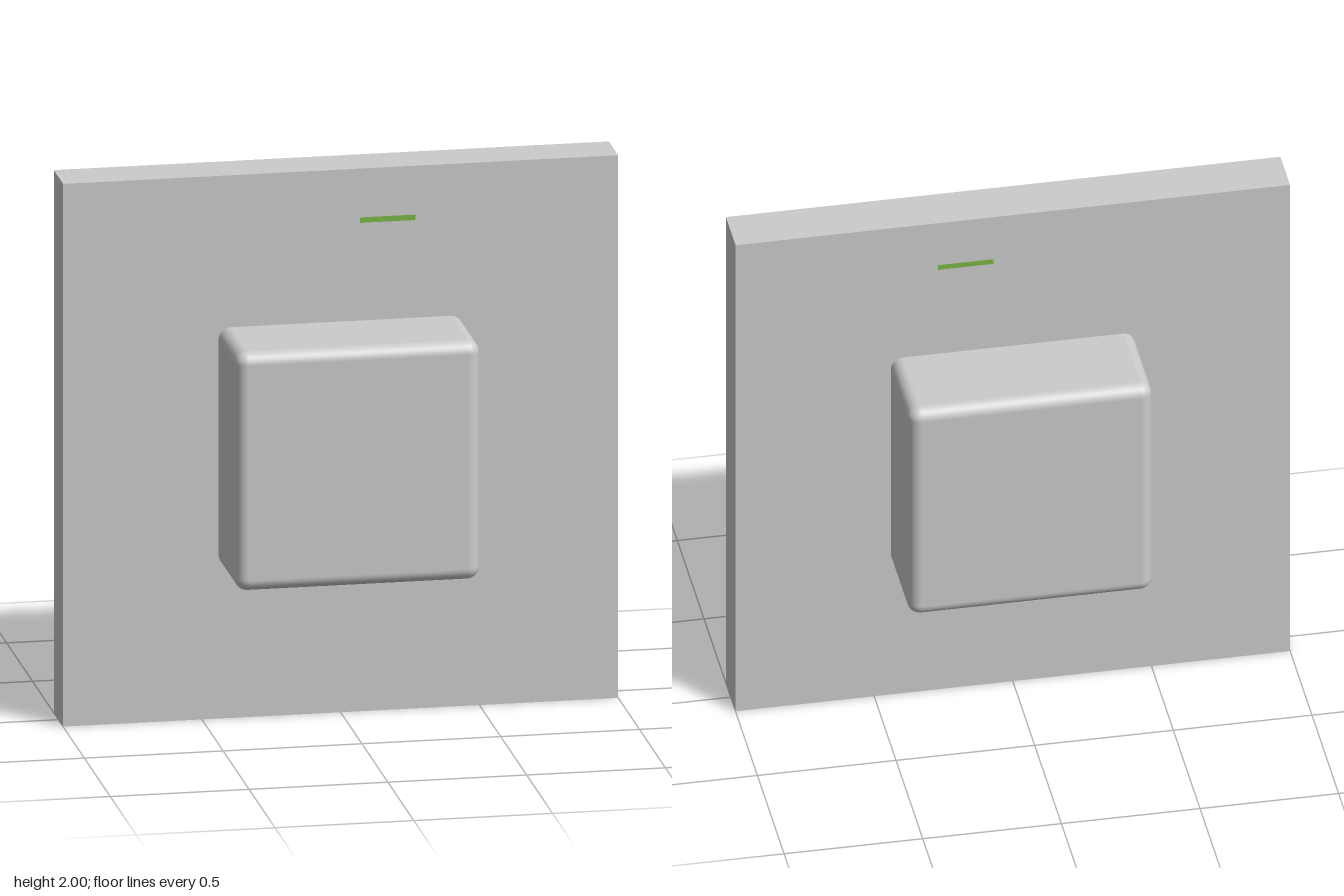
import * as THREE from 'three';
import { RoundedBoxGeometry } from 'three/addons/geometries/RoundedBoxGeometry.js';

const grey = new THREE.MeshStandardMaterial({ color: 0xcccccc });
const teal = new THREE.MeshStandardMaterial({ color: 0x4fc4b4 });
const green = new THREE.MeshStandardMaterial({ color: 0x7ab648 });

export function createModel() {
  const model = new THREE.Group();
  const add = (name, geometry, material, x, y, z) => {
    const mesh = new THREE.Mesh(geometry, material);
    mesh.name = name;
    mesh.position.set(x, y, z);
    model.add(mesh);
  };
  const box = (w, h, d) => new THREE.BoxGeometry(w, h, d);

  // Upright square slab with a rounded cube pushed through its middle
  add('slab', box(2, 2, 0.18), grey, 0, 1, 0);
  add('cube', new RoundedBoxGeometry(0.88, 0.88, 0.88, 4, 0.045), grey, 0, 1, 0);

  // Raised strips under the cube: one across the front, one along each side
  add('frontStrip', box(0.24, 0.03, 0.025), teal, 0, 0.55, 0.18);
  for (const side of [-1, 1]) {
    add(side < 0 ? 'rightStrip' : 'leftStrip', box(0.025, 0.03, 0.24), teal, side * 0.18, 0.55, 0);
  }

  // Thin inlays running through the slab, almost flush with its faces
  add('upperInlay', box(0.2, 0.02, 0.181), green, 0.17, 1.81, 0);
  add('lowerInlay', box(0.18, 0.02, 0.181), green, 0, 0.55, 0);

  return model;
}
